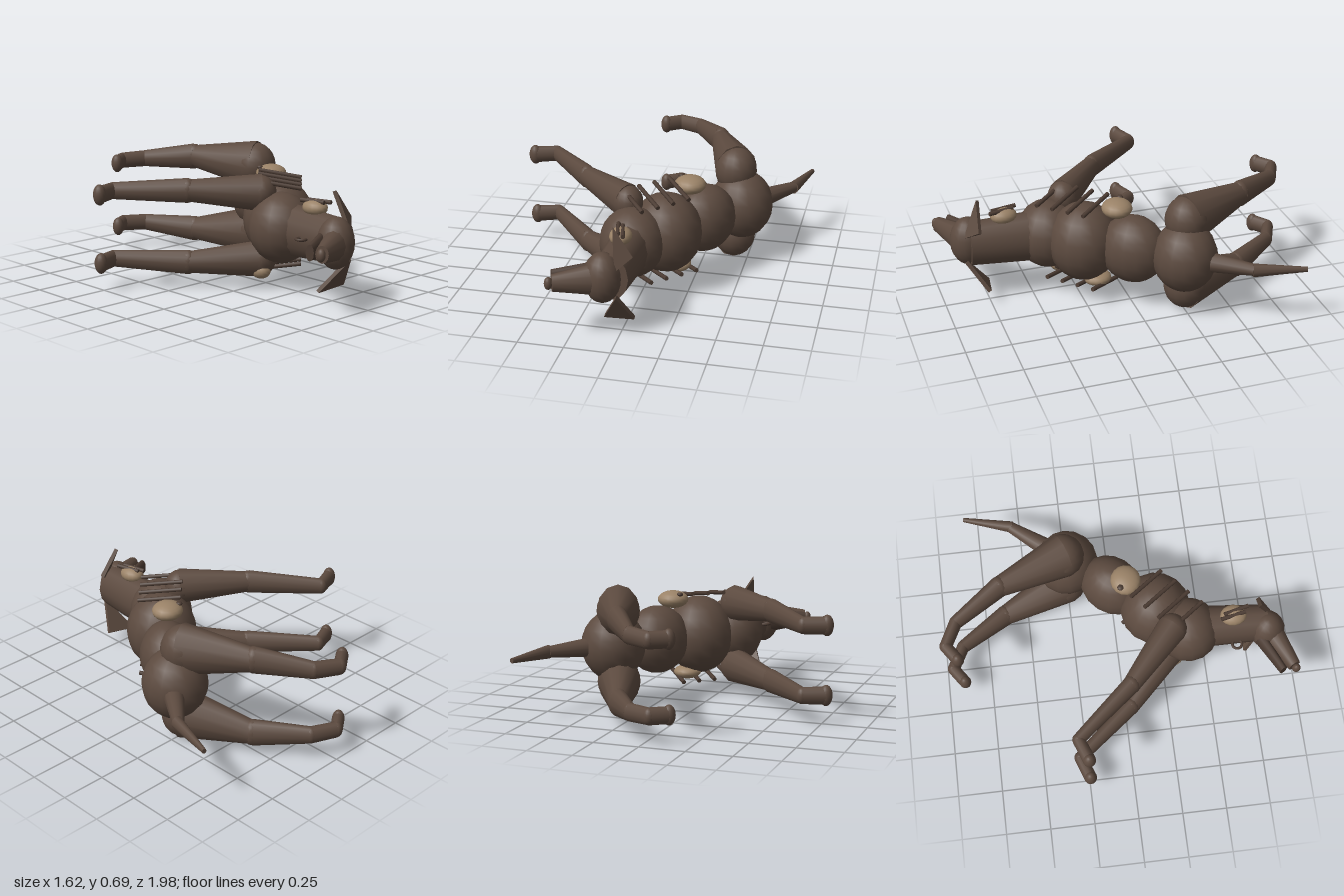
import * as THREE from 'three';

const coat = new THREE.MeshStandardMaterial({ color: 0x5c4a3f });
const dark = new THREE.MeshStandardMaterial({ color: 0x4c3c33 });
const tan = new THREE.MeshStandardMaterial({ color: 0x9a8267 });
coat.name = 'brownCoat';
dark.name = 'darkBrown';
tan.name = 'tanPatch';

const MID = 0.35; // height of the body's plane of symmetry

export function createModel() {
  const model = new THREE.Group();
  model.name = 'lyingDog';

  const add = (name, geo, mat, parent = model) => {
    const mesh = new THREE.Mesh(geo, mat);
    mesh.name = name;
    parent.add(mesh);
    return mesh;
  };

  // Ellipsoid at p with radii r, turned about y
  const ball = (name, p, r, mat = coat, turn = 0, parent = model) => {
    const m = add(name, new THREE.SphereGeometry(1, 16, 12), mat, parent);
    m.position.set(...p);
    m.scale.set(...r);
    m.rotation.y = turn;
    return m;
  };

  // Tapered segment from a to b; tall = cross-section height over width
  const taper = (name, a, b, ra, rb, tall = 1, mat = coat, parent = model, sides = 12) => {
    const A = new THREE.Vector3(...a), B = new THREE.Vector3(...b);
    const d = B.clone().sub(A), len = d.length();
    d.normalize();
    const n = new THREE.Vector3(0, 1, 0).addScaledVector(d, -d.y).normalize();
    const s = d.clone().cross(n);
    const geo = new THREE.CylinderGeometry(rb, ra, len, sides);
    geo.scale(1, 1, tall);
    geo.applyMatrix4(new THREE.Matrix4().makeBasis(s, d, n).setPosition(A.add(B).multiplyScalar(0.5)));
    return add(name, geo, mat, parent);
  };

  // Trunk
  ball('rump', [0.46, MID, -0.24], [0.18, 0.2, 0.18]);
  ball('waist', [0.29, MID, 0.0], [0.155, 0.195, 0.19], coat, -0.7);
  ball('ribcage', [0.12, MID, 0.23], [0.2, 0.225, 0.2]);
  ball('chest', [-0.03, MID, 0.395], [0.18, 0.195, 0.18]);

  // Neck, head and open muzzle
  taper('neck', [-0.02, MID, 0.42], [-0.04, MID, 0.84], 0.115, 0.098, 1.3);
  ball('head', [-0.08, MID, 0.84], [0.1, 0.14, 0.1]);
  taper('upperMuzzle', [-0.1, MID, 0.86], [-0.315, MID, 0.96], 0.07, 0.036, 1.3);
  taper('lowerJaw', [-0.11, MID, 0.785], [-0.335, MID, 0.895], 0.034, 0.022, 2, dark);
  ball('nose', [-0.33, MID, 0.968], [0.022, 0.035, 0.024], coat);

  // Ears: thin three-cornered plates
  const ear = (name, pts) => {
    const v = pts.map(p => new THREE.Vector3(...p));
    const n = v[1].clone().sub(v[0]).cross(v[2].clone().sub(v[0])).normalize().multiplyScalar(0.011);
    const f = v.map(p => p.clone().add(n)), b = v.map(p => p.clone().sub(n));
    const tris = [f[0], f[1], f[2], b[0], b[2], b[1]];
    for (let i = 0; i < 3; i++) {
      const j = (i + 1) % 3;
      tris.push(f[i], b[i], b[j], f[i], b[j], f[j]);
    }
    const geo = new THREE.BufferGeometry().setFromPoints(tris);
    geo.computeVertexNormals();
    add(name, geo, coat);
  };
  ear('upperEar', [[-0.035, 0.61, 0.785], [0.07, 0.46, 0.8], [-0.01, 0.4, 0.87]]);
  ear('lowerEar', [[0, 0.26, 0.87], [0.07, 0.09, 0.76], [-0.1, 0.07, 0.735]]);

  // Tail
  taper('tailBase', [0.53, MID, -0.3], [0.72, MID, -0.54], 0.06, 0.032, 1);
  taper('tailTip', [0.72, MID, -0.53], [0.8, MID, -0.81], 0.032, 0.012, 1.2);

  // Legs on both sides: path points are [x, height from middle, z, radius, tallness]
  const legs = {
    frontLeg: [[-0.08, 0.185, 0.29, 0.085], [-0.38, 0.2, 0.03, 0.05],
      [-0.65, 0.19, -0.29, 0.034], [-0.77, 0.19, -0.245, 0.036]],
    hindLeg: [[0.42, 0.2, -0.26, 0.12], [0.265, 0.225, -0.63, 0.056],
      [0.09, 0.2, -0.89, 0.036], [-0.04, 0.195, -0.955, 0.034], [-0.125, 0.195, -0.895, 0.034]],
  };
  for (const [side, sign] of [['upper', 1], ['lower', -1]]) {
    for (const [kind, path] of Object.entries(legs)) {
      const leg = new THREE.Group();
      leg.name = side + kind[0].toUpperCase() + kind.slice(1);
      model.add(leg);
      const pos = p => [p[0], MID + sign * p[1], p[2]];
      path.forEach((p, i) => {
        const tall = i === 0 ? 1.22 : 1.38;
        const r = p[3];
        const last = i === path.length - 1;
        ball(i === 0 ? 'shoulderJoint' : last ? 'toe' : 'joint', pos(p),
          i === 0 ? [r, r * 1.12, r] : [r, r * (last ? 1.6 : 1.35), r], coat, 0, leg);
        if (!last) taper('segment' + (i + 1), pos(p), pos(path[i + 1]), r, path[i + 1][3], tall, coat, leg);
      });
    }
  }

  // Ribs showing on both flanks
  const rod = (name, x, y, z, dx, dy, dz) =>
    taper(name, [x - dx, y - dy, z - dz], [x + dx, y + dy, z + dz], 0.012, 0.012, 1, dark, model, 8);
  for (let i = 0; i < 4; i++) {
    const x = 0.18 - i * 0.07, z = 0.18 + i * 0.067;
    rod('upperRib', x, 0.59 - i * 0.002, z, 0.075, -0.018, 0.095);
    rod('lowerRib', x + 0.04, 0.115, z - 0.04, 0.075, 0.018, 0.095);
  }

  // Bare patches with small dark spots
  ball('upperFlankPatch', [0.22, 0.575, 0.07], [0.088, 0.05, 0.085], tan);
  ball('upperPatchSpot', [0.165, 0.61, 0.035], [0.018, 0.012, 0.018], dark);
  ball('lowerFlankPatch', [0.17, 0.135, 0.17], [0.08, 0.04, 0.08], tan);
  ball('shoulderPatch', [-0.1, 0.105, 0.31], [0.05, 0.045, 0.06], tan);
  ball('neckPatch', [-0.03, 0.5, 0.645], [0.06, 0.045, 0.075], tan);
  rod('neckStrand', -0.045, 0.535, 0.64, 0.015, 0, 0.07);
  rod('neckStrand', -0.015, 0.535, 0.66, 0.018, 0, 0.07);

  // Ring hanging at the throat
  const ring = add('throatRing', new THREE.TorusGeometry(0.027, 0.008, 8, 16), dark);
  ring.rotation.x = Math.PI / 2;
  ring.position.set(-0.15, MID, 0.66);

  return model;
}
